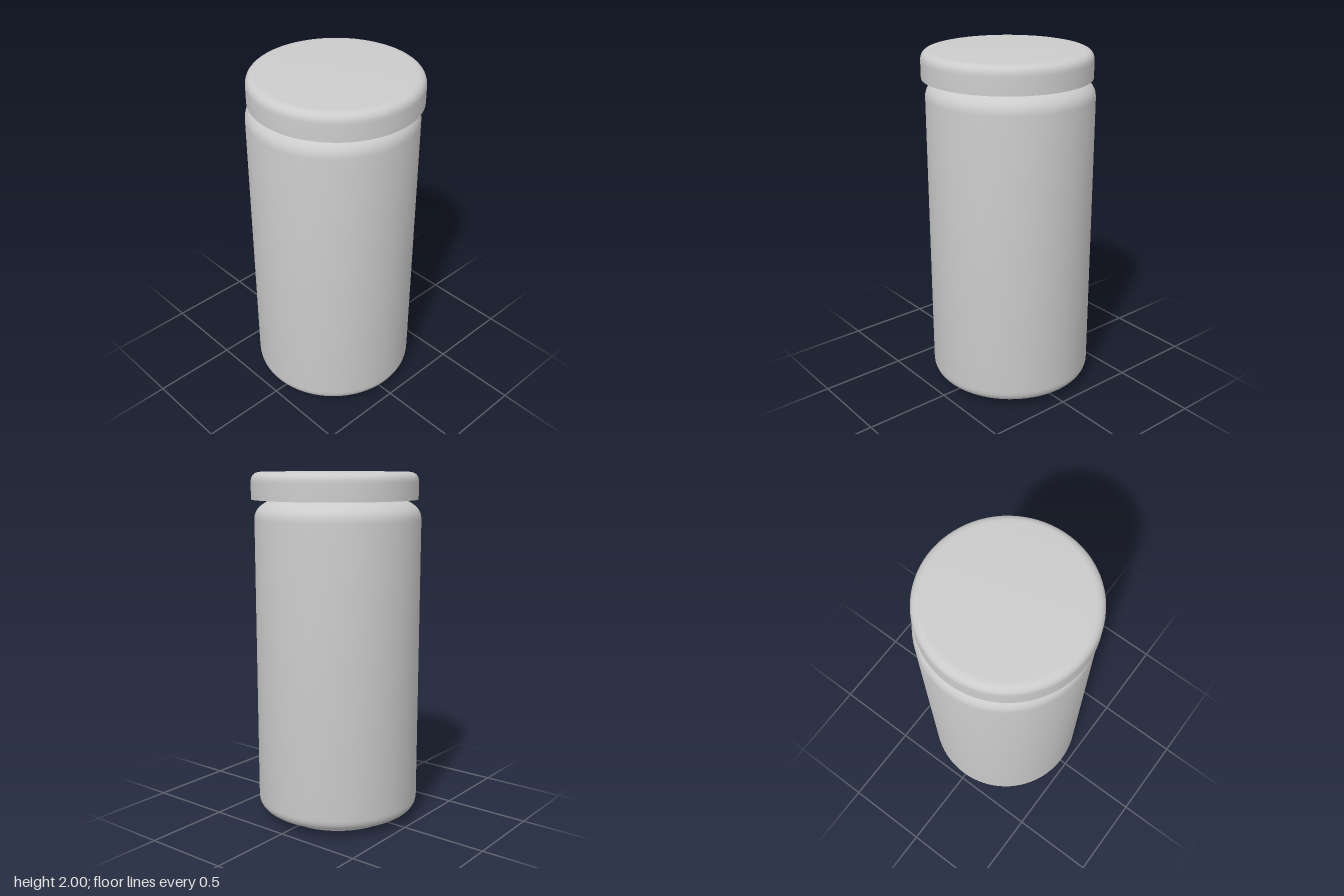
import * as THREE from 'three';
import { toCreasedNormals } from 'three/addons/utils/BufferGeometryUtils.js';

const material = new THREE.MeshStandardMaterial({ color: 0xcccccc });

// Spin a profile path around the vertical axis, keeping hard corners sharp
function turned(name, path, x) {
  const lathe = new THREE.LatheGeometry(path.getPoints(8), 80);
  const mesh = new THREE.Mesh(toCreasedNormals(lathe, 0.6), material);
  mesh.name = name;
  mesh.position.x = x;
  return mesh;
}

export function createModel() {
  const group = new THREE.Group();
  group.name = 'jar';

  // Body: raised foot, rounded base, straight wall, rounded shoulder and neck
  const body = new THREE.Path();
  body.moveTo(0, 0);
  body.lineTo(0.345, 0);
  body.quadraticCurveTo(0.36, 0.002, 0.365, 0.018);
  body.quadraticCurveTo(0.372, 0.036, 0.39, 0.036);
  body.bezierCurveTo(0.438, 0.036, 0.471, 0.062, 0.471, 0.11);
  body.lineTo(0.471, 1.74);
  body.bezierCurveTo(0.471, 1.8, 0.425, 1.825, 0.38, 1.846);
  body.quadraticCurveTo(0.365, 1.853, 0.365, 1.87);
  body.lineTo(0.365, 1.95);
  body.lineTo(0, 1.95);
  group.add(turned('jarBody', body, -0.012));

  // Lid: hollow cap with a thin rim and a rounded top edge
  const lid = new THREE.Path();
  lid.moveTo(0, 1.955);
  lid.lineTo(0.44, 1.955);
  lid.lineTo(0.44, 1.849);
  lid.lineTo(0.472, 1.849);
  lid.lineTo(0.472, 1.945);
  lid.bezierCurveTo(0.472, 1.98, 0.452, 2, 0.415, 2);
  lid.lineTo(0, 2);
  group.add(turned('lid', lid, 0.01));

  return group;
}
